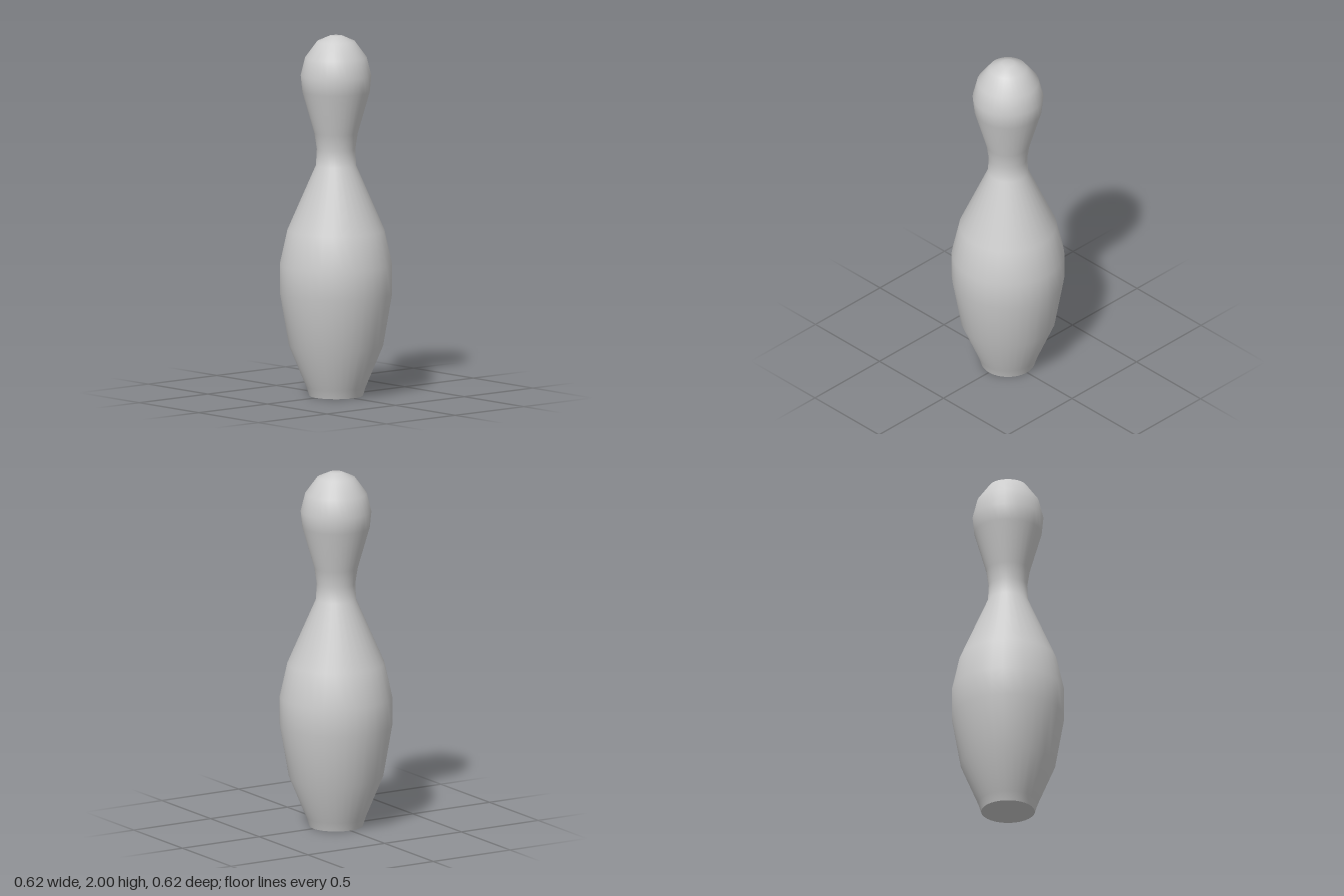
import * as THREE from 'three';

const SEGMENTS = 32;

export function createModel() {
  const group = new THREE.Group();
  group.name = 'bowlingPin';

  const paint = new THREE.MeshStandardMaterial({ color: 0xcccccc });
  paint.name = 'light grey';

  // Turned body: foot, belly, neck and head in one smooth profile
  const profile = [
    [0.148, 0], [0.164, 0.05], [0.26, 0.28], [0.31, 0.57], [0.31, 0.73],
    [0.268, 0.92], [0.111, 1.28], [0.106, 1.37], [0.12, 1.46], [0.186, 1.69],
    [0.195, 1.78], [0.17, 1.88], [0.104, 1.97], [0.037, 2], [0, 2],
  ].map(([r, y]) => new THREE.Vector2(r, y));
  const body = new THREE.Mesh(new THREE.LatheGeometry(profile, SEGMENTS), paint);
  body.name = 'body';
  group.add(body);

  // Flat underside with a sharp rim
  const base = new THREE.Mesh(new THREE.CircleGeometry(0.148, SEGMENTS), paint);
  base.name = 'base';
  base.rotation.x = Math.PI / 2;
  group.add(base);

  return group;
}
